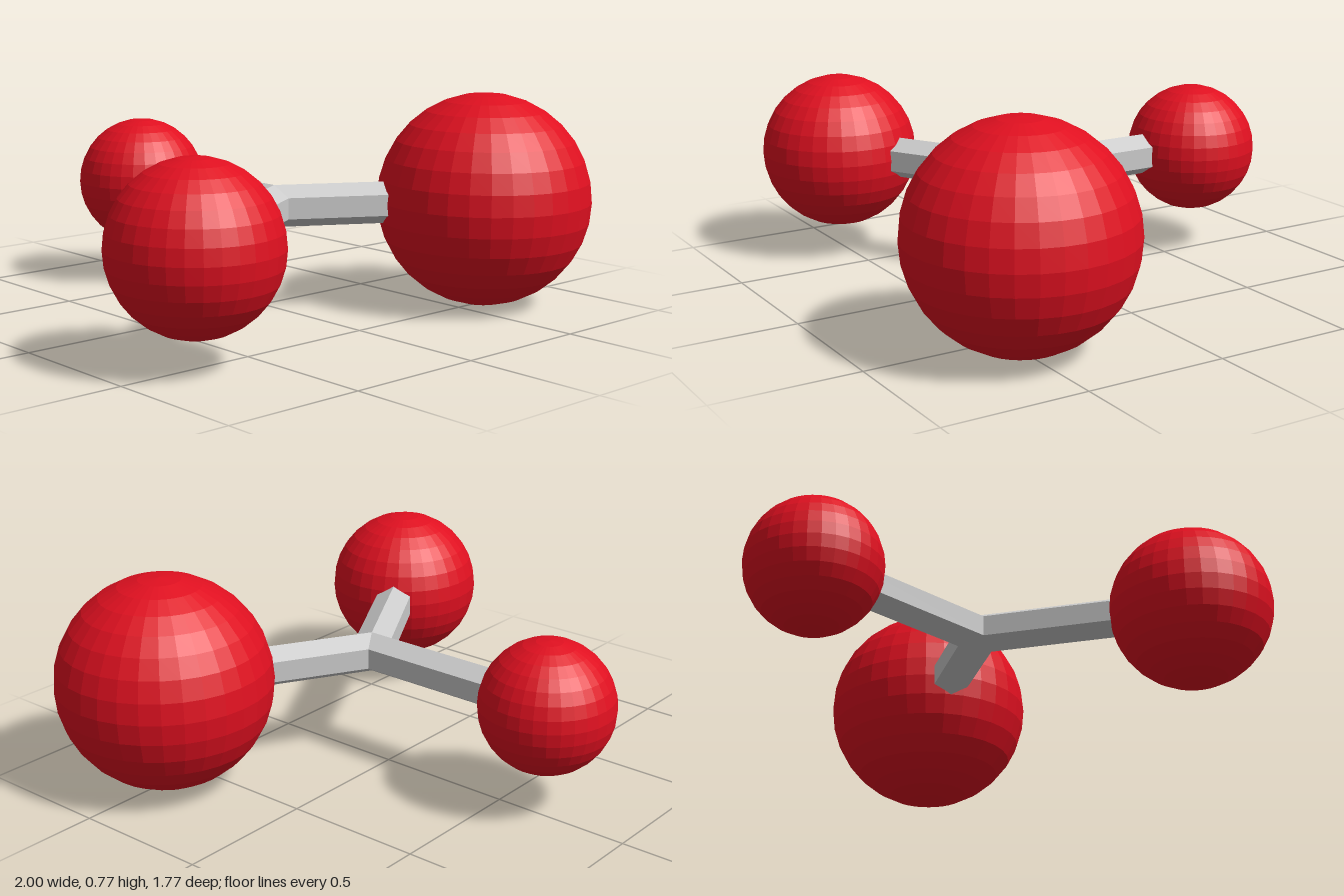
import * as THREE from 'three';

export function createModel() {
  const model = new THREE.Group();
  const grey = new THREE.MeshStandardMaterial({ color: 0xcccccc, flatShading: true });
  const red = new THREE.MeshStandardMaterial({ color: 0xe01020, flatShading: true });

  const hub = new THREE.Vector3(-0.049, 0.383, 0.119);
  const armLength = 0.769;

  // Three arms 120 degrees apart, each ending in a ball of its own size
  const arms = [
    { name: 'left', angle: Math.PI / 3, radius: 0.383 },
    { name: 'right', angle: -Math.PI / 3, radius: 0.285 },
    { name: 'back', angle: Math.PI, radius: 0.237 },
  ];

  for (const { name, angle, radius } of arms) {
    const arm = new THREE.Group();
    arm.name = name + 'Arm';
    arm.position.copy(hub);
    arm.rotation.y = angle;

    // Hexagonal rod with an edge on top, running along the arm's z axis
    const rodGeometry = new THREE.CylinderGeometry(0.075, 0.075, armLength, 6);
    rodGeometry.rotateX(Math.PI / 2).translate(0, 0, armLength / 2);
    const rod = new THREE.Mesh(rodGeometry, grey);
    rod.name = name + 'Rod';

    // Ball, turned back so its facets line up with the model's axes
    const ball = new THREE.Mesh(new THREE.SphereGeometry(radius, 32, 16), red);
    ball.name = name + 'Ball';
    ball.position.z = armLength;
    ball.rotation.y = -angle;

    arm.add(rod, ball);
    model.add(arm);
  }
  return model;
}
